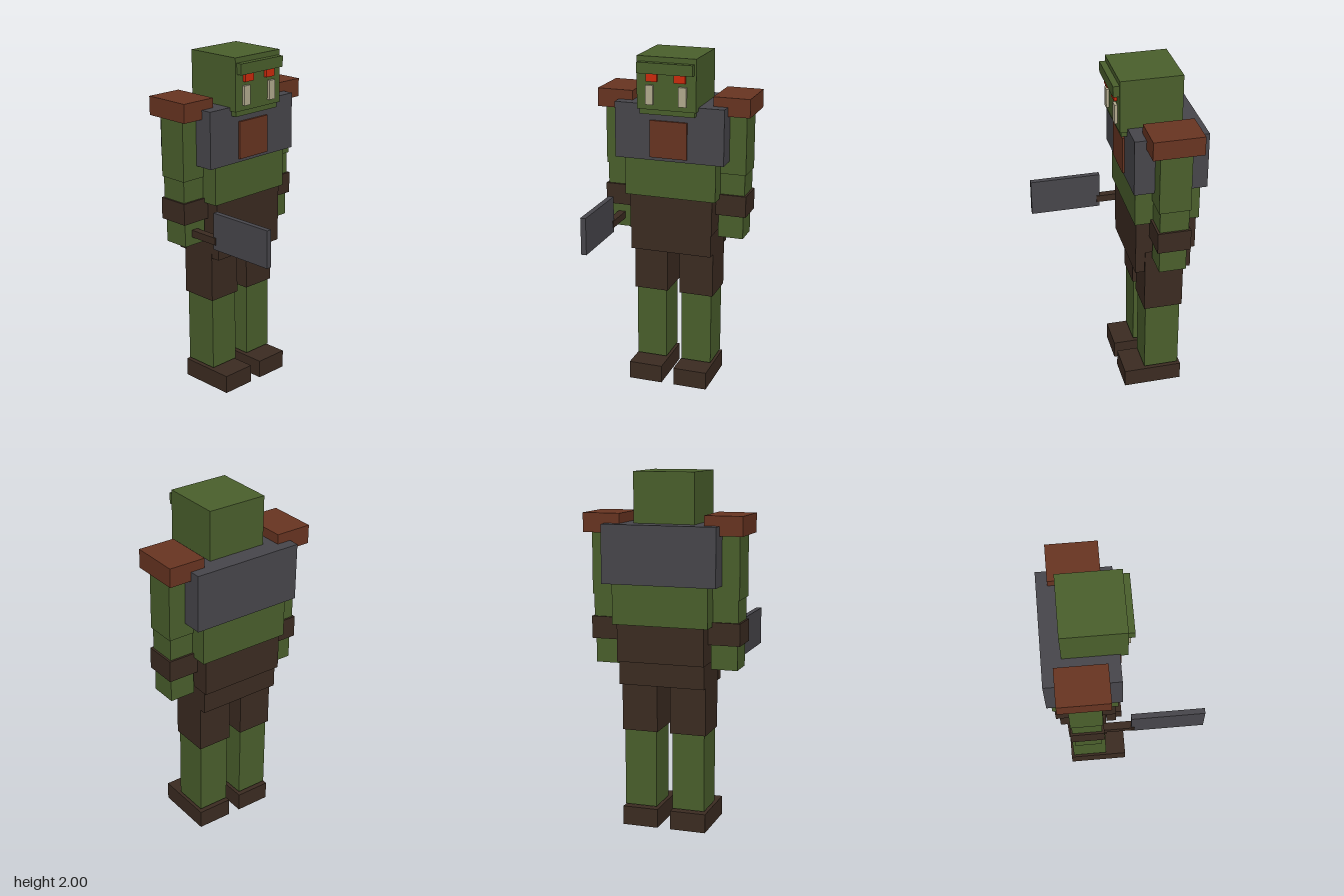
import * as THREE from 'three';

const mat = (name, color) => new THREE.MeshStandardMaterial({ name, color });

export function createModel() {
  const skin = mat('greenSkin', 0x4a5f2c);
  const cloth = mat('darkBrownLeather', 0x3b2b21);
  const iron = mat('darkIron', 0x47464b);
  const rust = mat('rustLeather', 0x683421);
  const red = mat('redEyes', 0xcc2a0c);
  const bone = mat('boneTusks', 0xb2ab8e);

  const model = new THREE.Group();
  model.name = 'axeWarrior';

  // Box given by its extents on each axis
  const box = (name, m, [x0, x1], [y0, y1], [z0, z1]) => {
    const mesh = new THREE.Mesh(new THREE.BoxGeometry(x1 - x0, y1 - y0, z1 - z0), m);
    mesh.position.set((x0 + x1) / 2, (y0 + y1) / 2, (z0 + z1) / 2);
    mesh.name = name;
    model.add(mesh);
  };
  // Box centred on x = 0
  const mid = (name, m, w, y, z) => box(name, m, [-w, w], y, z);
  // Mirrored left and right boxes
  const pair = (name, m, [a, b], y, z) => {
    box('left' + name, m, [a, b], y, z);
    box('right' + name, m, [-b, -a], y, z);
  };

  // Head and face
  mid('head', skin, 0.174, [1.7, 2], [-0.327, 0.02]);
  mid('jaw', skin, 0.162, [1.67, 1.7], [-0.3, 0.01]);
  mid('brow', skin, 0.163, [1.908, 1.97], [0, 0.054]);
  pair('Eye', red, [0.05, 0.115], [1.862, 1.908], [0.01, 0.038]);
  pair('Tusk', bone, [0.075, 0.12], [1.73, 1.84], [0.01, 0.036]);

  // Torso and armour
  mid('torso', skin, 0.273, [1.17, 1.7], [-0.41, -0.042]);
  mid('chestArmour', iron, 0.325, [1.395, 1.72], [-0.433, -0.023]);
  mid('chestPlate', rust, 0.11, [1.415, 1.63], [-0.05, -0.01]);

  // Belt with front and back flaps
  mid('belt', cloth, 0.25, [0.962, 1.17], [-0.4, -0.055]);
  mid('frontFlap', cloth, 0.245, [0.83, 0.962], [-0.11, -0.055]);
  mid('backFlap', cloth, 0.245, [0.83, 0.962], [-0.378, -0.33]);

  // Arms
  pair('ShoulderPad', rust, [0.24, 0.454], [1.668, 1.775], [-0.371, -0.088]);
  pair('UpperArm', skin, [0.25, 0.424], [1.32, 1.668], [-0.315, -0.137]);
  pair('Forearm', skin, [0.257, 0.417], [1.195, 1.32], [-0.309, -0.145]);
  pair('Bracer', cloth, [0.245, 0.429], [1.07, 1.195], [-0.32, -0.132]);
  pair('Hand', skin, [0.262, 0.411], [0.932, 1.07], [-0.302, -0.148]);

  // Legs
  pair('Thigh', cloth, [0.038, 0.243], [0.56, 0.97], [-0.339, -0.113]);
  pair('Shin', skin, [0.048, 0.233], [0.12, 0.56], [-0.328, -0.122]);
  pair('Shoe', cloth, [0.038, 0.243], [0, 0.108], [-0.344, 0]);

  // Cleaver in the right hand
  box('cleaverHandle', cloth, [-0.36, -0.317], [0.98, 1.022], [-0.16, 0.042]);
  box('cleaverBlade', iron, [-0.354, -0.323], [0.95, 1.165], [0.023, 0.435]);

  return model;
}
